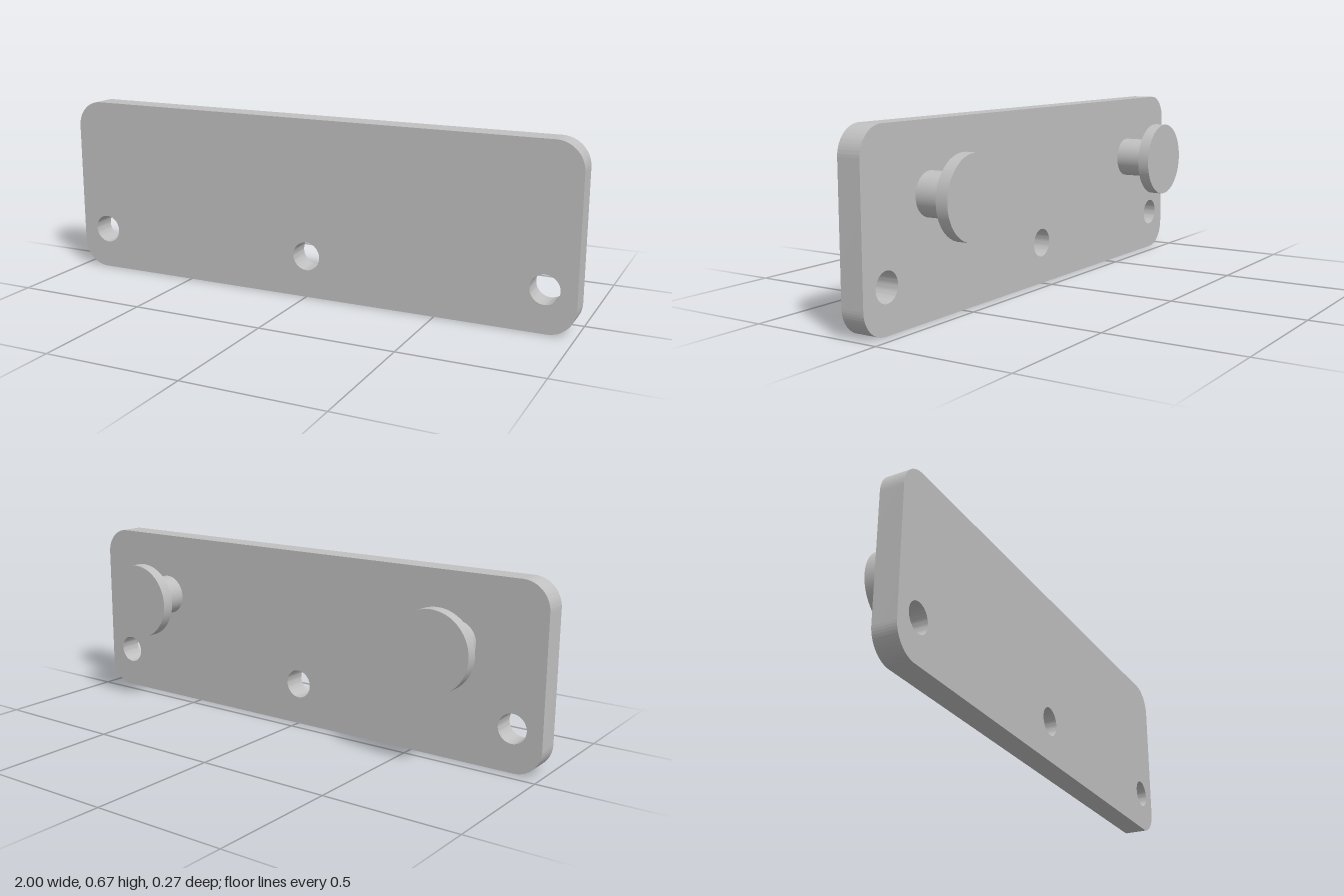
import * as THREE from 'three';
import { toCreasedNormals } from 'three/addons/utils/BufferGeometryUtils.js';

const HEIGHT = 0.667, BACK = 0.045, FRONT = 0.134;

// Rounded rectangle standing on y = 0, with three screw holes
function plateShape(radius) {
  const s = new THREE.Shape();
  s.absarc(1 - radius, radius, radius, -Math.PI / 2, 0);
  s.absarc(1 - radius, HEIGHT - radius, radius, 0, Math.PI / 2);
  s.absarc(-1 + radius, HEIGHT - radius, radius, Math.PI / 2, Math.PI);
  s.absarc(-1 + radius, radius, radius, Math.PI, Math.PI * 1.5);
  s.closePath();
  for (const x of [-0.889, 0, 0.889]) {
    s.holes.push(new THREE.Path().absarc(x, 0.156, 0.053, 0, Math.PI * 2, true));
  }
  return s;
}

export function createModel() {
  const model = new THREE.Group();
  model.name = 'mountingPlate';
  const grey = new THREE.MeshStandardMaterial({ color: 0xc0c0c0 });
  grey.name = 'grey';

  const add = (parent, name, geometry) => {
    const mesh = new THREE.Mesh(geometry, grey);
    mesh.name = name;
    parent.add(mesh);
    return mesh;
  };

  // Plate
  const plate = new THREE.ExtrudeGeometry(plateShape(0.1), {
    depth: FRONT - BACK, bevelEnabled: false, curveSegments: 24,
  });
  plate.translate(0, 0, BACK);
  add(model, 'plate', toCreasedNormals(plate, 0.6));

  // Pair of hanging knobs on the back: a post with a wider disc head
  for (const side of [-1, 1]) {
    const knob = new THREE.Group();
    knob.name = side > 0 ? 'leftKnob' : 'rightKnob';
    knob.position.set(side * 0.666, 0.423, 0);
    const disc = (name, radius, z0, z1) => {
      const g = new THREE.CylinderGeometry(radius, radius, z1 - z0, 48);
      g.rotateX(Math.PI / 2);
      g.translate(0, 0, (z0 + z1) / 2);
      add(knob, name, g);
    };
    disc('post', 0.077, -0.089, BACK);
    disc('head', 0.144, -0.134, -0.089);
    model.add(knob);
  }
  return model;
}
